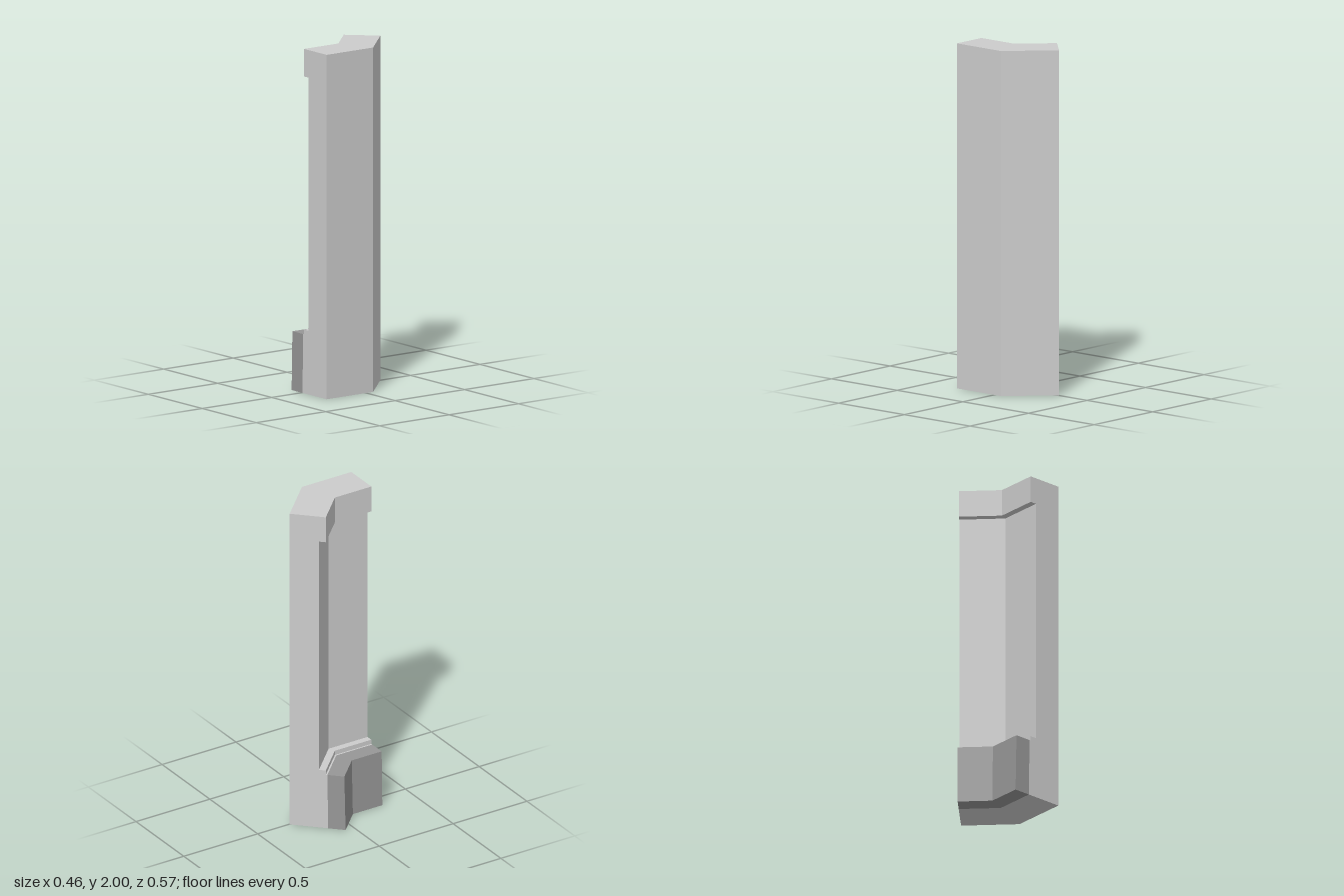
import * as THREE from 'three';

// Stations of the bent path: a point at depth d inward from the outer faces
const stations = [
  (d, y) => [0.232 - d, y, 0.284],                                // front end
  (d, y) => [0.232 - d, y, -0.05 + d * Math.tan(Math.PI / 8)],    // mitred bend
  (d, y) => [-0.003 - d * Math.SQRT1_2, y, -0.285 + d * Math.SQRT1_2], // rear end
];

// Sweep a counter-clockwise (depth, height) profile along the path
function sweep(name, profile, color) {
  const positions = [];
  const put = (s, i) => positions.push(...stations[s](...profile[i]));
  const n = profile.length;
  for (let s = 0; s < stations.length - 1; s++) {
    for (let i = 0; i < n; i++) {
      const j = (i + 1) % n;
      put(s, i); put(s, j); put(s + 1, j);
      put(s, i); put(s + 1, j); put(s + 1, i);
    }
  }
  // End caps
  const outline = profile.map(([d, y]) => new THREE.Vector2(d, y));
  for (const [a, b, c] of THREE.ShapeUtils.triangulateShape(outline, [])) {
    put(0, c); put(0, b); put(0, a);
    put(2, a); put(2, b); put(2, c);
  }
  const geometry = new THREE.BufferGeometry();
  geometry.setAttribute('position', new THREE.Float32BufferAttribute(positions, 3));
  geometry.computeVertexNormals();
  const mesh = new THREE.Mesh(geometry, new THREE.MeshStandardMaterial({ color, flatShading: true }));
  mesh.name = name;
  return mesh;
}

export function createModel() {
  const group = new THREE.Group();
  group.name = 'cornerWall';
  // Wall with recessed panel, overhanging top band and low ledge
  group.add(sweep('wall', [
    [0, 0], [0.224, 0], [0.219, 0.343], [0.21, 0.343], [0.21, 0.37],
    [0.17, 0.37], [0.17, 1.84], [0.21, 1.84], [0.21, 2], [0, 2],
  ], 0xcccccc));
  // Darker, slightly tapered plinth at the foot of the inner face
  group.add(sweep('plinth', [
    [0.224, 0], [0.325, 0], [0.318, 0.343], [0.219, 0.343],
  ], 0x969696));
  return group;
}
